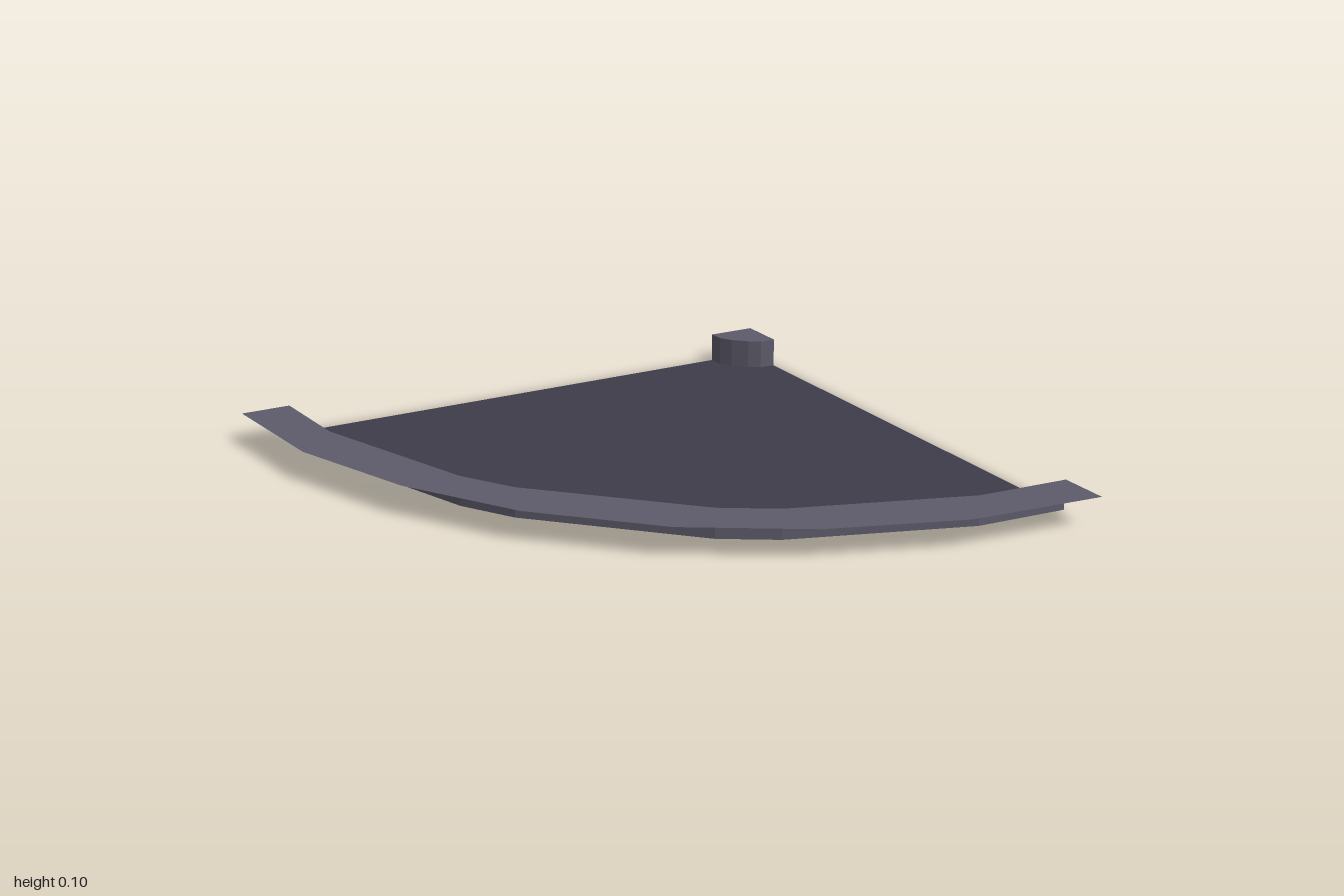
import * as THREE from 'three';

const HEIGHT = 0.1;

// Mirror half an arc across the diagonal x = -z: (x, z) -> (-z, -x)
const mirrorArc = (half) => [...half, ...half.slice().reverse().map(([x, z]) => [-z, -x])];

// Flat horizontal plate from an [x, z] outline, facing up
function plate(name, outline, y, material) {
  const shape = new THREE.Shape(outline.map(([x, z]) => new THREE.Vector2(x, -z)));
  const geometry = new THREE.ShapeGeometry(shape).rotateX(-Math.PI / 2).translate(0, y, 0);
  const mesh = new THREE.Mesh(geometry, material);
  mesh.name = name;
  return mesh;
}

// Faceted upright strip standing on a path of [x, z] points
function wall(name, path, material) {
  const positions = [];
  for (let i = 0; i < path.length - 1; i++) {
    const [ax, az] = path[i];
    const [bx, bz] = path[i + 1];
    positions.push(ax, 0, az, bx, HEIGHT, bz, bx, 0, bz);
    positions.push(ax, 0, az, ax, HEIGHT, az, bx, HEIGHT, bz);
  }
  const geometry = new THREE.BufferGeometry();
  geometry.setAttribute('position', new THREE.Float32BufferAttribute(positions, 3));
  geometry.computeVertexNormals();
  const mesh = new THREE.Mesh(geometry, material);
  mesh.name = name;
  return mesh;
}

export function createModel() {
  const rimGrey = new THREE.MeshStandardMaterial({ color: 0x5d5b6a, side: THREE.DoubleSide });
  rimGrey.name = 'rimGrey';
  const floorGrey = new THREE.MeshStandardMaterial({ color: 0x3e3c49, side: THREE.DoubleSide });
  floorGrey.name = 'floorGrey';

  // Plan curves, from the back edge round to the left edge
  const outer = mirrorArc([[-1, -1], [-0.955, -0.55], [-0.8, -0.12], [-0.575, 0.245]]);
  const inner = mirrorArc([[-0.833, -1], [-0.81, -0.69], [-0.61, -0.11], [-0.505, 0.06]]);
  const corner = mirrorArc([[0.833, -1], [0.835, -0.945], [0.86, -0.905]]
    .map(([x, z]) => [x, z])).slice(0, 3);
  // The corner arc is symmetric about the line through (1, -1)
  const cornerArc = [...corner, ...corner.slice().reverse().map(([x, z]) => [-z, -x])];

  const group = new THREE.Group();
  group.name = 'recessedQuarterFloor';
  group.add(
    plate('floor', [...inner, ...cornerArc.slice().reverse()], 0, floorGrey),
    plate('outerRim', [...outer, ...inner.slice().reverse()], HEIGHT, rimGrey),
    plate('cornerRim', [...cornerArc, [1, -1]], HEIGHT, rimGrey),
    wall('outerWall', inner, rimGrey),
    wall('cornerWall', cornerArc.slice().reverse(), rimGrey),
  );
  return group;
}
